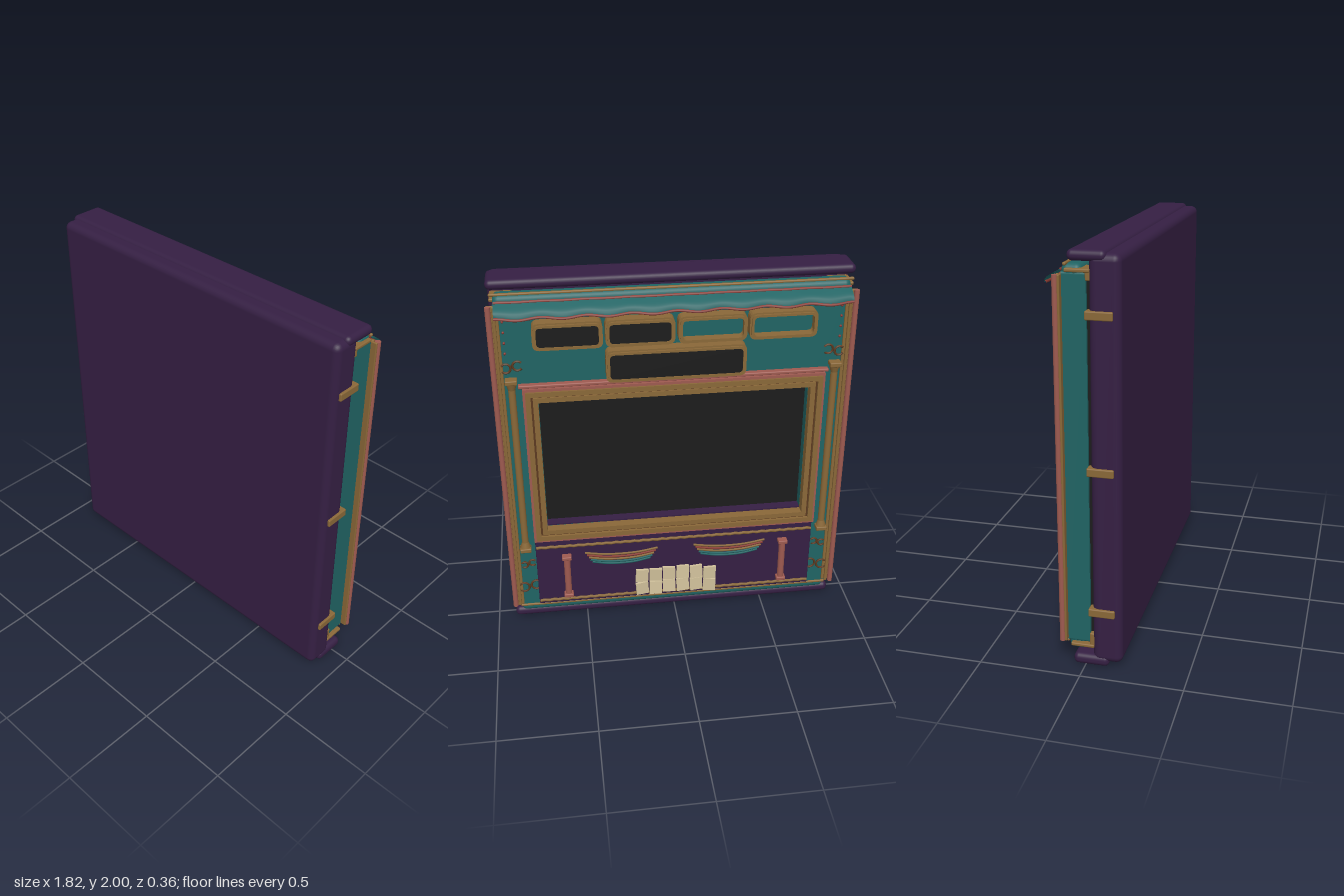
import * as THREE from 'three';
import { RoundedBoxGeometry } from 'three/addons/geometries/RoundedBoxGeometry.js';

const mat = (name, color, side = THREE.FrontSide) => {
  const m = new THREE.MeshStandardMaterial({ color, side });
  m.name = name;
  return m;
};

export function createModel() {
  const M = {
    purple: mat('purple', 0x351f43),
    teal: mat('teal', 0x206464, THREE.DoubleSide),
    brass: mat('brass', 0x8a6838),
    pink: mat('dusty pink', 0x9e5a50),
    dark: mat('dark glass', 0x1c1c1c),
    cream: mat('cream', 0xd2c29c),
    brown: mat('brown', 0x5c3a20),
    red: mat('red trim', 0x8a3a32),
  };
  const root = new THREE.Group();
  const add = (name, geo, m, x = 0, y = 0, z = 0) => {
    const mesh = new THREE.Mesh(geo, m);
    mesh.name = name;
    mesh.position.set(x, y, z);
    root.add(mesh);
    return mesh;
  };
  // box given by its limits, optionally rounded
  const box = (name, m, x0, x1, y0, y1, z0, z1, r = 0) => {
    const s = [x1 - x0, y1 - y0, z1 - z0];
    const geo = r ? new RoundedBoxGeometry(...s, 3, r) : new THREE.BoxGeometry(...s);
    return add(name, geo, m, (x0 + x1) / 2, (y0 + y1) / 2, (z0 + z1) / 2);
  };
  const rect = (C, w, h, r) => {
    const s = new C(), a = w / 2, b = h / 2;
    s.moveTo(-a + r, -b);
    s.lineTo(a - r, -b); s.quadraticCurveTo(a, -b, a, -b + r);
    s.lineTo(a, b - r); s.quadraticCurveTo(a, b, a - r, b);
    s.lineTo(-a + r, b); s.quadraticCurveTo(-a, b, -a, b - r);
    s.lineTo(-a, -b + r); s.quadraticCurveTo(-a, -b, -a + r, -b);
    return s;
  };
  // rectangular frame of border t, running from z0 to z1
  const ring = (name, m, x, y, w, h, t, z0, z1, r = 0.004) => {
    const s = rect(THREE.Shape, w, h, r);
    s.holes.push(rect(THREE.Path, w - 2 * t, h - 2 * t, r * 0.7));
    const geo = new THREE.ExtrudeGeometry(s, { depth: z1 - z0, bevelEnabled: false, curveSegments: 5 });
    return add(name, geo, m, x, y, z0);
  };
  const tube = (name, m, pts, r, n = 32) =>
    add(name, new THREE.TubeGeometry(new THREE.CatmullRomCurve3(pts.map(p => new THREE.Vector3(...p))), n, r, 6), m);
  const rod = (name, m, x, y0, y1, z, r) =>
    add(name, new THREE.CylinderGeometry(r, r, y1 - y0, 14), m, x, (y0 + y1) / 2, z);

  // Padded front cover with top and bottom lips
  box('frontCover', M.purple, -0.9, 0.9, 0.022, 1.986, 0.035, 0.18, 0.035);
  box('topLip', M.purple, -0.904, 0.904, 1.95, 2.0, -0.06, 0.115, 0.024);
  box('bottomLip', M.purple, -0.904, 0.904, 0, 0.055, -0.06, 0.115, 0.024);
  box('coreLayer', M.dark, -0.86, 0.86, 0.1, 1.9, 0.015, 0.04);

  // Teal body with a recessed screen
  const body = rect(THREE.Shape, 1.75, 1.79, 0.012);
  const opening = new THREE.Path();
  opening.moveTo(-0.69, -0.38);
  opening.lineTo(0.69, -0.38).lineTo(0.69, 0.39).lineTo(-0.69, 0.39).lineTo(-0.69, -0.38);
  body.holes.push(opening);
  add('body', new THREE.ExtrudeGeometry(body, { depth: 0.112, bevelEnabled: false }), M.teal, 0, 1.005, -0.092);
  box('screen', M.dark, -0.7, 0.7, 0.6, 1.41, -0.04, -0.02);
  box('screenSill', M.purple, -0.69, 0.69, 0.622, 0.632, -0.092, -0.04);

  // Rolled top and bottom of the body, with rails
  box('topRoll', M.teal, -0.875, 0.875, 1.87, 1.935, -0.095, 0.0, 0.03);
  box('bottomRoll', M.teal, -0.865, 0.865, 0.06, 0.13, -0.092, 0.0, 0.028);
  box('topRail', M.brass, -0.89, 0.89, 1.928, 1.942, -0.08, -0.064, 0.006);
  box('bottomRail', M.brass, -0.87, 0.87, 0.098, 0.112, -0.1, -0.088, 0.005);

  for (const s of [-1, 1]) {
    const X = (a, b) => s > 0 ? [a, b] : [-b, -a];
    // Side clamps and corner brackets
    for (const y of [0.29, 1.0, 1.72])
      box('sideClamp', M.brass, ...X(0.86, 0.912), y - 0.02, y + 0.02, 0.02, 0.147, 0.006);
    for (const [a, b, c, d] of [[1.9, 1.917, 1.865, 1.917], [0.088, 0.105, 0.088, 0.165]]) {
      box('cornerBracket', M.brass, ...X(0.78, 0.89), a, b, -0.075, 0.04, 0.006);
      box('cornerFoot', M.brass, ...X(0.8, 0.885), c, d, 0.018, 0.042, 0.006);
    }

    // Edge rods between thin strips
    box('edgeBacking', M.brass, ...X(0.85, 0.905), 0.12, 1.89, -0.102, -0.09, 0.004);
    rod('edgeRod', M.pink, s * 0.897, 0.12, 1.89, -0.112, 0.014);
    box('edgeStrip', M.brass, ...X(0.864, 0.879), 0.12, 1.89, -0.116, -0.1, 0.005);

    // Brass column beside the screen
    rod('column', M.brass, s * 0.816, 0.5, 1.5, -0.112, 0.018);
    for (const [y, d] of [[0.5, 1], [1.5, -1]]) {
      box('columnPlinth', M.brass, ...X(0.786, 0.846), y - 0.012, y + 0.012, -0.142, -0.09, 0.005);
      add('columnCollar', new THREE.CylinderGeometry(d > 0 ? 0.018 : 0.028, d > 0 ? 0.028 : 0.018, 0.035, 14),
        M.brass, s * 0.816, y + d * 0.028, -0.112);
    }

    // Curled ornaments and studs
    for (const [y, size] of [[0.24, 1.4], [0.39, 0.9], [1.57, 1.2]]) {
      for (const k of [-1, 1]) {
        const curl = add('curl', new THREE.TorusGeometry(0.02 * size, 0.006, 6, 16, 5), M.brown,
          s * 0.808 + k * 0.024 * size, y - k * s * 0.006, -0.101);
        curl.rotation.z = k > 0 ? 0.6 : 3.7;
      }
    }
    for (let i = 0; i < 4; i++)
      add('stud', new THREE.SphereGeometry(0.007, 8, 6), M.red, s * 0.835, 1.64 + i * 0.055, -0.093);

    // Small pink column on the lower panel
    rod('smallColumn', M.pink, s * 0.6, 0.18, 0.43, -0.122, 0.018);
    for (const y of [0.18, 0.43])
      box('smallColumnCap', M.pink, ...X(0.574, 0.626), y - 0.011, y + 0.011, -0.146, -0.1, 0.005);

    // Draped cords
    [[0.44, M.brass], [0.424, M.red], [0.408, M.brass], [0.392, M.teal], [0.378, M.teal]].forEach(([y, m], i) => {
      const a = 0.1 + i * 0.01, b = 0.5 - i * 0.01;
      tube('drapedCord', m, [[s * a, y, -0.112], [s * (a * 0.7 + b * 0.3), y - 0.016, -0.116],
        [s * (a * 0.3 + b * 0.7), y - 0.016, -0.116], [s * b, y, -0.112]], 0.006, 20);
    });
  }

  // Stepped screen frame with a pink rail on top
  const cy = 1.005;
  ring('outerFrame', M.pink, 0, cy, 1.532, 0.91, 0.014, -0.138, -0.09);
  ring('frameStep', M.brass, 0, cy, 1.506, 0.882, 0.026, -0.148, -0.09);
  ring('frameGroove', M.brown, 0, cy, 1.456, 0.836, 0.012, -0.134, -0.09);
  ring('innerFrame', M.brass, 0, cy, 1.434, 0.814, 0.026, -0.142, -0.085);
  box('frameRail', M.pink, -0.785, 0.785, 1.458, 1.476, -0.125, -0.09, 0.006);

  // Lower panel with rope edging
  box('lowerPanel', M.purple, -0.765, 0.765, 0.115, 0.55, -0.108, -0.085, 0.006);
  for (const y of [0.14, 0.495]) {
    const pts = [];
    for (let i = 0; i <= 60; i++) pts.push([-0.76 + i * 1.52 / 60, y + (i % 2 ? 0.002 : -0.002), -0.112]);
    tube('rope', M.brass, pts, 0.008, 120);
  }

  // Cracked cream tiles
  let seed = 7;
  const rnd = () => (seed = (seed * 16807) % 2147483647) / 2147483647 - 0.5;
  for (let i = 0; i < 6; i++) {
    const shift = rnd() * 0.03;
    for (let row = 0; row < 2; row++) {
      const t = add('creamTile', new THREE.BoxGeometry(0.07, 0.08, 0.014), M.cream,
        -0.19 + i * 0.076, 0.182 + row * 0.086 + shift, -0.125 + rnd() * 0.008);
      t.rotation.set(rnd() * 0.15, rnd() * 0.3, rnd() * 0.14);
    }
  }

  // Framed windows above the screen, three of them glazed
  const windows = [[0.53, 1.74, 0.34, 0.14, true], [0.178, 1.74, 0.34, 0.14, true],
    [-0.178, 1.74, 0.34, 0.14, false], [-0.53, 1.74, 0.34, 0.14, false], [0, 1.565, 0.7, 0.17, true]];
  for (const [x, y, w, h, glazed] of windows) {
    ring('windowFrame', M.brass, x, y, w, h, 0.012, -0.152, -0.088, 0.035);
    ring('windowBead', M.brass, x, y, w - 0.016, h - 0.016, 0.012, -0.163, -0.14, 0.032);
    if (glazed) box('windowGlass', M.dark, x - w / 2 + 0.02, x + w / 2 - 0.02, y - h / 2 + 0.02, y + h / 2 - 0.02, -0.159, -0.1);
  }

  // Wavy awning with a short drop and red hems
  const edge = (x, t) => {
    const c = Math.cos(x * 2 * Math.PI / 0.217);
    return [x, 1.91 - 0.045 * t - 0.02 * t ** 8 + 0.004 * c * t, -0.09 - 0.08 * Math.min(1, t * 1.1) + 0.005 * c * t];
  };
  const cloth = new THREE.PlaneGeometry(1.74, 1, 96, 10);
  const p = cloth.attributes.position;
  for (let i = 0; i < p.count; i++) p.setXYZ(i, ...edge(p.getX(i), 0.5 - p.getY(i)));
  cloth.computeVertexNormals();
  add('awning', cloth, M.teal);
  for (const t of [0.12, 1]) {
    const pts = [];
    for (let i = 0; i <= 64; i++) pts.push(edge(-0.87 + i * 1.74 / 64, t));
    tube('awningHem', M.red, pts, 0.007, 128);
  }
  return root;
}
